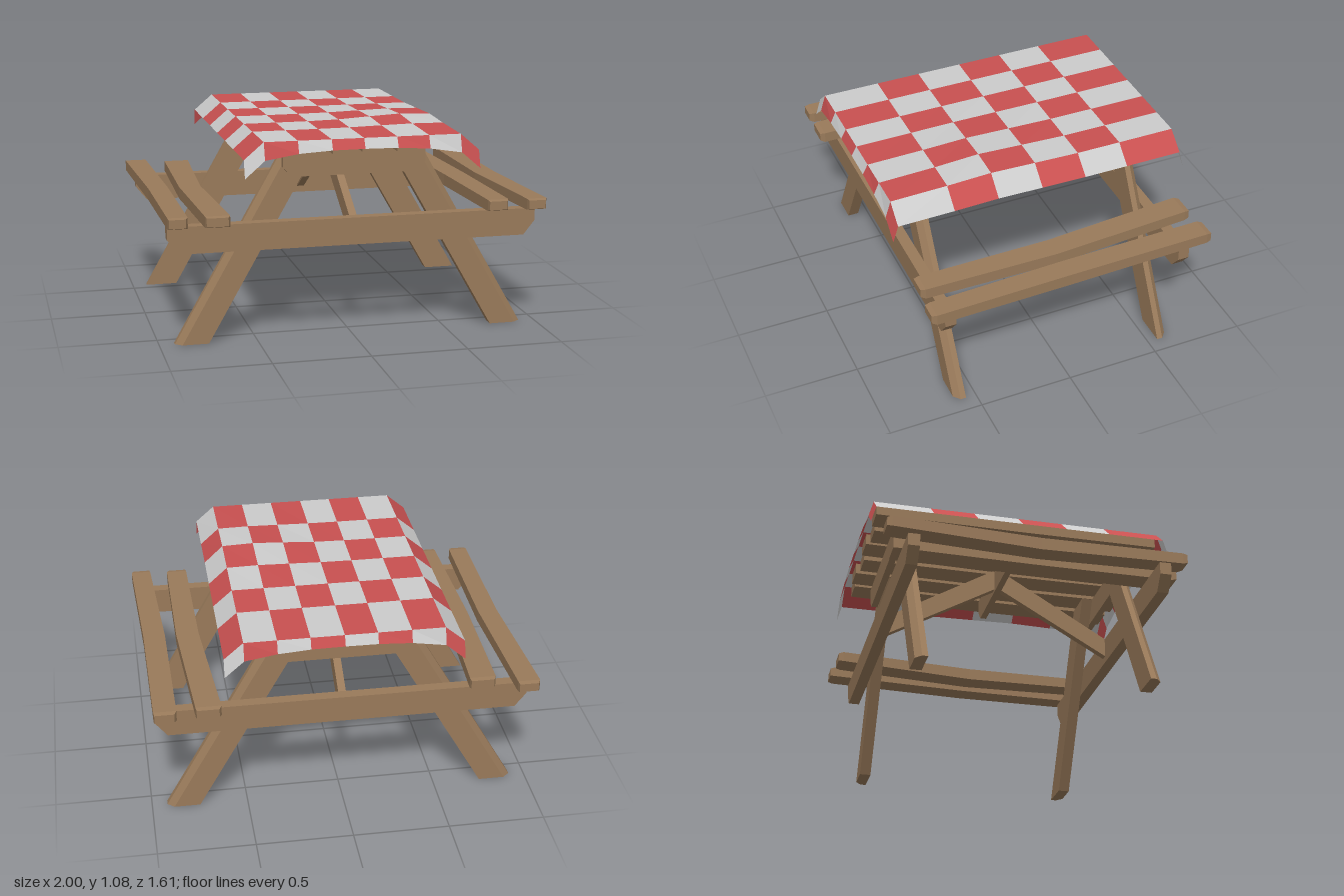
import * as THREE from 'three';

const wood = new THREE.MeshStandardMaterial({ color: 0x997a5a, flatShading: true });
const red = new THREE.MeshStandardMaterial({ color: 0xc85050, flatShading: true, side: THREE.DoubleSide });
const white = new THREE.MeshStandardMaterial({ color: 0xcccccc, flatShading: true, side: THREE.DoubleSide });

// Geometry from a list of corner triples
function fromTriangles(tris) {
  const g = new THREE.BufferGeometry();
  g.setAttribute('position', new THREE.Float32BufferAttribute(tris.flat(2), 3));
  g.computeVertexNormals();
  return g;
}

// Solid through a row of convex rings with closed ends; turned outward if needed
function loft(rings) {
  const tris = [], n = rings[0].length;
  for (let r = 0; r < rings.length - 1; r++) {
    for (let i = 0; i < n; i++) {
      const j = (i + 1) % n, a = rings[r], b = rings[r + 1];
      tris.push([a[i], a[j], b[j]], [a[i], b[j], b[i]]);
    }
  }
  const first = rings[0], last = rings[rings.length - 1];
  for (let i = 1; i < n - 1; i++) {
    tris.push([first[0], first[i + 1], first[i]], [last[0], last[i], last[i + 1]]);
  }
  let volume = 0;
  for (const t of tris) {
    const [a, b, c] = t.map(p => new THREE.Vector3(...p));
    volume += a.dot(b.cross(c));
  }
  return fromTriangles(volume < 0 ? tris.map(([a, b, c]) => [a, c, b]) : tris);
}

// Plank along z; stations are [z, left edge x, right edge x, bottom y, top y]
function plank(stations) {
  return loft(stations.map(([z, x0, x1, y0, y1]) =>
    [[x0, y0, z], [x1, y0, z], [x1, y1, z], [x0, y1, z]]));
}

// Cross beam along x with its lower corners cut off
function beam(halfX, cutX, cutY, y0, y1, z0, z1) {
  const outline = [[-cutX, y0], [cutX, y0], [halfX, cutY], [halfX, y1], [-halfX, y1], [-halfX, cutY]];
  return loft([z0, z1].map(z => outline.map(([x, y]) => [x, y, z])));
}

export function createModel() {
  const model = new THREE.Group();
  const add = (name, geometry, material = wood) => {
    const mesh = new THREE.Mesh(geometry, material);
    mesh.name = name;
    model.add(mesh);
  };

  for (const sz of [-1, 1]) {
    // Sloping legs, bevelled on the outer corner
    for (const sx of [-1, 1]) {
      const ring = (x, y) => [
        [x - 0.17, 0.555], [x, 0.555], [x, 0.585], [x - 0.035, 0.615], [x - 0.17, 0.615],
      ].map(([px, pz]) => [sx * px, y, sz * pz]);
      add('leg', loft([ring(0.92, 0), ring(0.36, 0.98)]));
    }
    // Beams carrying the top and the seats
    add('topBeam', beam(0.37, 0.325, 0.9, 0.85, 0.98, sz * 0.615, sz * 0.65));
    add('seatBeam', beam(0.96, 0.9, 0.565, 0.49, 0.63, sz * 0.615, sz * 0.675));
    // Diagonal brace
    const side = [[0, 0.98], [0, 0.875], [0.615, 0.525], [0.615, 0.63], [0.03, 0.975]];
    add('brace', loft([-0.02, 0.02].map(x => side.map(([z, y]) => [x, y, sz * z]))));
  }
  add('middleBeam', beam(0.37, 0.325, 0.9, 0.85, 0.98, -0.017, 0.017));

  // Table top planks
  for (let i = 0; i < 6; i++) {
    const x = (i - 2.5) * 0.17, skew = 0.008 * Math.sin(i * 2.3), end = 0.755 + 0.01 * Math.cos(i * 3.1);
    add('topPlank', plank([
      [-end, x - 0.07 + skew, x + 0.065 + skew, 0.98, 1.04],
      [0, x - 0.07, x + 0.07, 0.975, 1.045],
      [end, x - 0.065 - skew, x + 0.07 - skew, 0.98, 1.04],
    ]));
  }

  // Seat planks, slightly warped: back z, front z, then left and right edge at back, middle, front
  const seats = [
    [-0.785, 0.765, [-1.0, -0.885], [-0.965, -0.86], [-0.965, -0.865]],
    [-0.715, 0.77, [-0.785, -0.65], [-0.8, -0.685], [-0.78, -0.655]],
    [-0.78, 0.735, [0.63, 0.76], [0.68, 0.8], [0.69, 0.8]],
    [-0.795, 0.755, [0.855, 0.97], [0.86, 0.975], [0.895, 1.0]],
  ];
  for (const [zb, zf, back, mid, front] of seats) {
    const c = 0.025;
    add('seatPlank', plank([
      [zb, back[0] + 0.012, back[1] - 0.004, 0.643, 0.688],
      [zb + c, back[0], back[1], 0.637, 0.693],
      [0, ...mid, 0.622, 0.686],
      [zf - c, front[0], front[1], 0.635, 0.693],
      [zf, front[0] + 0.004, front[1] - 0.012, 0.643, 0.688],
    ]));
  }

  // Checked cloth: a grid whose outer rows hang down over the edges
  const xs = [-0.59, -0.49, -0.32, -0.15, 0.015, 0.185, 0.35, 0.515, 0.613];
  const zs = [-0.805, -0.78, -0.476, -0.24, 0, 0.24, 0.476, 0.775, 0.803];
  const corner = (i, j) => {
    const x = xs[i], z = zs[j];
    let y = 1.056 + 0.022 * Math.exp(-((x - 0.37) ** 2) * 14 - ((z - 0.22) ** 2) * 14);
    if (i === 0 || i === 8) y -= 0.085;
    if (j === 0 || j === 8) y -= 0.05 + 0.04 * Math.min(1, Math.abs(x) / 0.5) ** 3;
    return [x, y, z];
  };
  const cells = [[], []];
  for (let i = 0; i < 8; i++) {
    for (let j = 0; j < 8; j++) {
      const a = corner(i, j), b = corner(i, j + 1), c = corner(i + 1, j + 1), d = corner(i + 1, j);
      cells[(i + j) % 2].push([a, b, c], [a, c, d]);
    }
  }
  add('clothRedChecks', fromTriangles(cells[0]), red);
  add('clothWhiteChecks', fromTriangles(cells[1]), white);

  return model;
}
